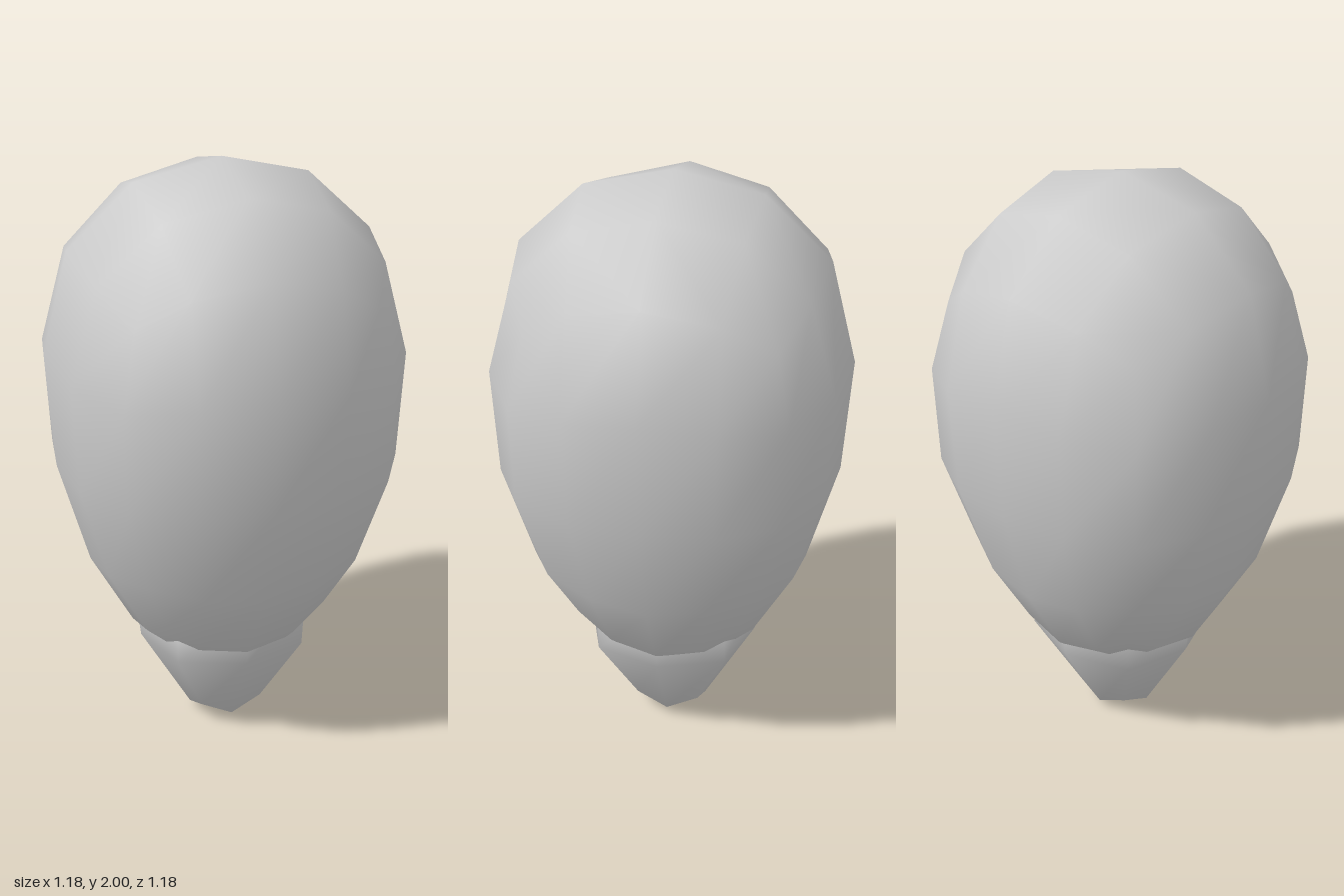
import * as THREE from 'three';
import { mergeVertices } from 'three/addons/utils/BufferGeometryUtils.js';

// Rounded-off cube coordinates: key = sorted grid levels of a vertex, value = new size per level
const SOFT_ONE = { '100': [0, 1], '110': [0, 0.75], '111': [0, 0.556] };
const SOFT_TWO = {
  '200': [0, 0, 0.878], '210': [0, 0.35, 0.82], '211': [0, 0.326, 0.764],
  '220': [0, 0, 0.643], '221': [0, 0.302, 0.599], '222': [0, 0, 0.509],
};

// A cube of 2n x 2n quads per side, softened by the table and then reshaped by a rule
function softCube(n, table, reshape) {
  let geo = new THREE.BoxGeometry(2 * n, 2 * n, 2 * n, 2 * n, 2 * n, 2 * n);
  geo.deleteAttribute('uv');
  geo.deleteAttribute('normal');
  geo = mergeVertices(geo, 1e-3);
  const pos = geo.attributes.position;
  for (let i = 0; i < pos.count; i++) {
    const grid = [pos.getX(i), pos.getY(i), pos.getZ(i)].map(Math.round);
    const levels = grid.map(Math.abs);
    const row = table[[...levels].sort((a, b) => b - a).join('')];
    const p = grid.map((g, k) => Math.sign(g) * row[levels[k]]);
    pos.setXYZ(i, ...reshape(...p));
  }
  geo.computeVertexNormals();
  return geo;
}

export function createModel() {
  const group = new THREE.Group();
  const material = new THREE.MeshStandardMaterial({ color: 0xcccccc });
  const add = (name, geo) => {
    const mesh = new THREE.Mesh(geo, material);
    mesh.name = name;
    group.add(mesh);
  };

  // Large egg-shaped body, wide at the top
  add('bulb', softCube(2, SOFT_TWO, (x, y, z) => {
    const s = (0.643 + 0.219 * y) * (1 + 0.2 * x * x * z * z);
    return [x * s, 1.015 + 1.07 * y + 0.13 * y * y - 0.08 * y ** 3, z * s];
  }));

  // Blunt tapered tip, its upper half sunk into the bulb
  add('tip', softCube(1, SOFT_ONE, (x, y, z) => {
    const s = 0.295 + 0.18 * y;
    const h = y < 0 ? 0.335 + 0.623 * y + 0.288 * y * y : 0.335 + 0.3 * y;
    return [x * s, h, z * s];
  }));

  return group;
}
